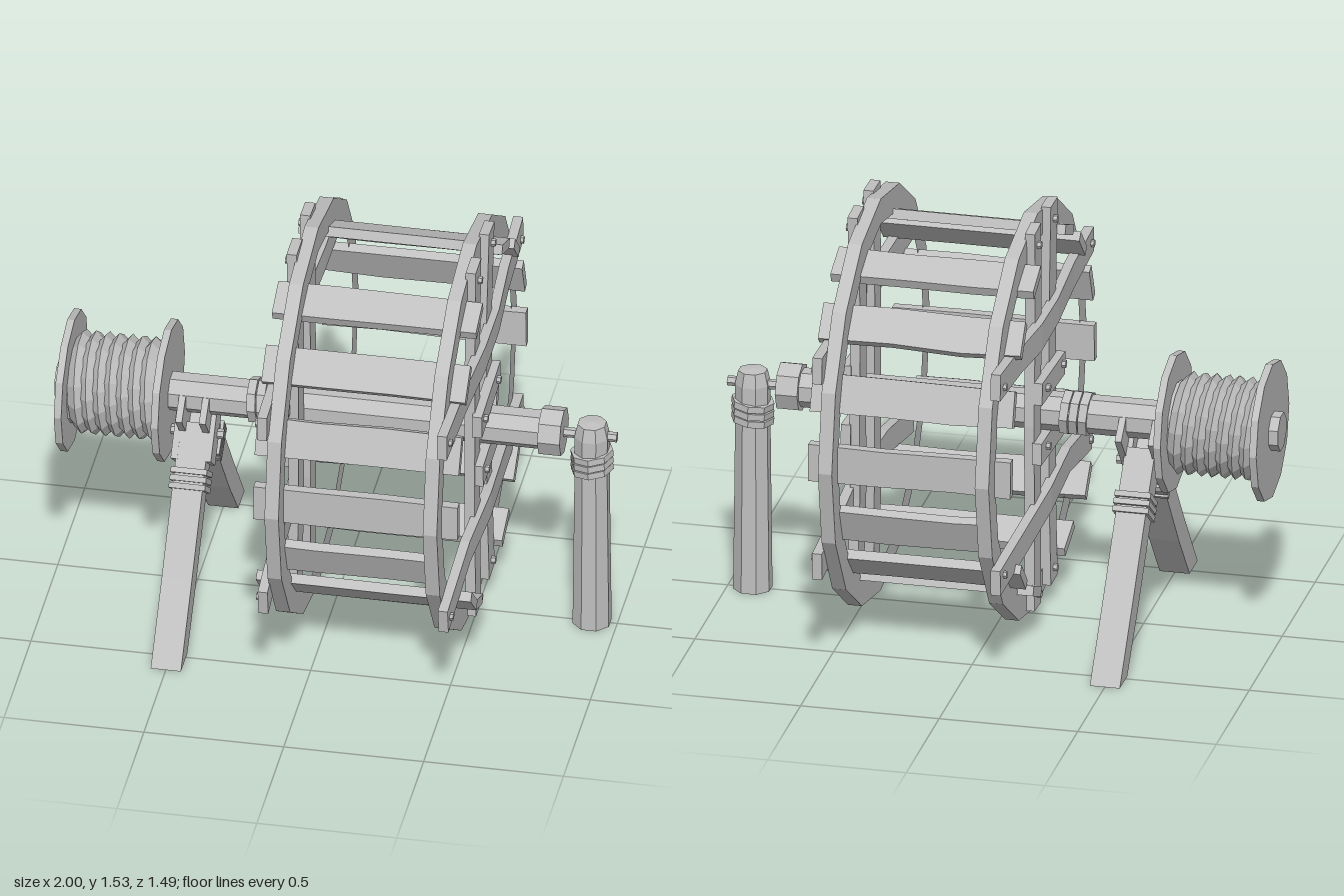
import * as THREE from 'three';

const wood = new THREE.MeshStandardMaterial({ color: 0xc0c0c0, flatShading: true });
wood.name = 'plain grey';

const HUB_Y = 0.78, MID_X = 0.19;
let seed = 7;
const rand = () => (seed = (seed * 16807) % 2147483647) / 2147483647;
const jitter = (a) => (rand() - 0.5) * a;
const X = new THREE.Vector3(1, 0, 0);

function add(parent, geo, name, x = 0, y = 0, z = 0) {
  const m = new THREE.Mesh(geo, wood);
  m.name = name;
  m.position.set(x, y, z);
  parent.add(m);
  return m;
}

// Plank swept along points; d is its size along "side", w its other size
function plank(points, w, d, side = X, rough = 0.012) {
  const pts = points.map((p) => new THREE.Vector3(...p));
  const rings = pts.map((p, i) => {
    const t = pts[Math.min(i + 1, pts.length - 1)].clone().sub(pts[Math.max(i - 1, 0)]).normalize();
    const n = t.clone().cross(side).normalize();
    const hw = (w + jitter(rough)) / 2, hd = d / 2;
    return [[1, 1], [-1, 1], [-1, -1], [1, -1]].map(([a, b]) =>
      p.clone().addScaledVector(side, a * hd).addScaledVector(n, b * hw));
  });
  const out = [];
  const quad = (a, b, c, e) => [a, b, c, a, c, e].forEach((v) => out.push(v.x, v.y, v.z));
  for (let k = 0; k < rings.length - 1; k++) {
    for (let i = 0; i < 4; i++) {
      const j = (i + 1) % 4;
      quad(rings[k][i], rings[k][j], rings[k + 1][j], rings[k + 1][i]);
    }
  }
  const s = rings[0], e = rings[rings.length - 1];
  quad(s[3], s[2], s[1], s[0]);
  quad(e[0], e[1], e[2], e[3]);
  const g = new THREE.BufferGeometry();
  g.setAttribute('position', new THREE.Float32BufferAttribute(out, 3));
  g.computeVertexNormals();
  return g;
}

// Cylinder lying along x between two positions
function rod(parent, x0, x1, r, sides, name, y = HUB_Y, z = 0) {
  const g = new THREE.CylinderGeometry(r, r, x1 - x0, sides);
  g.rotateZ(Math.PI / 2);
  return add(parent, g, name, (x0 + x1) / 2, y, z);
}

function wheelRim() {
  const corners = (r) => Array.from({ length: 16 }, (_, i) => {
    const a = (i * Math.PI) / 8;
    return new THREE.Vector2(Math.sin(a) * r, Math.cos(a) * r);
  });
  const shape = new THREE.Shape(corners(0.746));
  shape.holes.push(new THREE.Path(corners(0.65)));
  const g = new THREE.ExtrudeGeometry(shape, { depth: 0.05, bevelEnabled: false });
  g.translate(0, 0, -0.025);
  g.rotateY(Math.PI / 2);
  return g;
}

// One side of the wheel: rim, spokes, hub boards and bolts
function wheelSide(s) {
  const g = new THREE.Group();
  g.name = s > 0 ? 'leftWheelSide' : 'rightWheelSide';
  const px = (o) => MID_X + s * o;
  add(g, wheelRim(), 'rim', px(0.283), HUB_Y, 0);
  const path = (list) => list.map(([z, y, o]) => [px(o), y, z]);
  add(g, plank(path([[0.125, 0.08, 0.32], [0.118, 0.44, 0.315], [0.12, 0.78, 0.315], [0.12, 1.13, 0.315], [0.125, 1.52, 0.32]]), 0.1, 0.036), 'uprightSpoke');
  add(g, plank(path([[-0.125, 0.08, 0.32], [-0.105, 0.44, 0.315], [-0.11, 0.78, 0.315], [-0.095, 1.13, 0.315], [-0.122, 1.52, 0.32]]), 0.1, 0.036), 'uprightSpoke');
  add(g, plank(path([[0.72, 1.135, 0.322], [0.4, 1.13, 0.328], [0.1, 1.12, 0.342], [-0.15, 1.12, 0.342], [-0.4, 1.135, 0.328], [-0.7, 1.15, 0.322]]), 0.095, 0.035), 'crossSpoke');
  add(g, plank(path([[0.7, 0.395, 0.322], [0.33, 0.455, 0.33], [0, 0.445, 0.342], [-0.35, 0.42, 0.33], [-0.7, 0.405, 0.322]]), 0.095, 0.035), 'crossSpoke');
  add(g, plank(path([[0.19, 0.885, 0.345], [-0.16, 0.905, 0.345]]), 0.085, 0.035), 'hubBoard');
  add(g, plank(path([[0.165, 0.665, 0.345], [-0.17, 0.68, 0.345]]), 0.085, 0.035), 'hubBoard');
  const bolts = [[0.122, 1.46, 0.34], [-0.124, 1.46, 0.34], [0.122, 0.13, 0.34], [-0.124, 0.13, 0.34],
    [0.68, 1.135, 0.34], [-0.65, 1.135, 0.34], [0.66, 0.395, 0.34], [-0.65, 0.42, 0.34],
    [0.145, 0.898, 0.365], [-0.095, 0.907, 0.365], [0.12, 0.67, 0.365], [-0.09, 0.683, 0.365]];
  for (const [z, y, o] of bolts) rod(g, px(o) - 0.012, px(o) + 0.012, 0.014, 6, 'bolt', y, z);
  return g;
}

// Tread boards around the inside of the rims, none at the very top and bottom
function treads() {
  const g = new THREE.Group();
  g.name = 'treads';
  for (let i = 1; i < 16; i++) {
    if (i === 8) continue;
    const a = (i * Math.PI) / 8;
    const short = i === 5 || i === 11;
    const e = short ? 0.27 : i === 6 ? 0.385 : 0.365;
    const m = add(g, plank([[-e, 0, 0], [-0.15, 0, jitter(0.01)], [0.1, 0, jitter(0.01)], [e, 0, 0]], 0.135, 0.036, new THREE.Vector3(0, 1, 0)), 'tread');
    m.position.set(MID_X, HUB_Y + Math.cos(a) * 0.637, Math.sin(a) * 0.637);
    m.rotation.x = a;
  }
  return g;
}

// Rope drum with two flanges and slanted coils
function drum() {
  const g = new THREE.Group();
  g.name = 'ropeDrum';
  for (const x of [-0.953, -0.607]) rod(g, x - 0.013, x + 0.013, 0.252, 12, 'flange');
  rod(g, -0.94, -0.62, 0.15, 12, 'ropeCore');
  for (let i = 0; i < 7; i++) {
    const coil = new THREE.TorusGeometry(0.155, 0.03, 4, 14);
    coil.rotateY(Math.PI / 2);
    const m = add(g, coil, 'ropeCoil', -0.905 + i * 0.042, HUB_Y, 0);
    m.rotation.set(i * 0.7, 0, 0.08);
    m.rotation.order = 'ZYX';
  }
  return g;
}

// Crossed leg with a rope wrap and two thin prongs that hold the axle
function trestleLeg(s) {
  const g = new THREE.Group();
  g.name = s > 0 ? 'frontLeg' : 'rearLeg';
  const cx = -0.5;
  const leg = plank([[cx, 0.03, s * 0.51], [cx, 0.22, s * 0.35], [cx, 0.48, s * 0.15], [cx, 0.66, s * 0.01]], 0.095, 0.108);
  // Cut the foot level with the ground
  const p = leg.attributes.position;
  for (let i = 0; i < p.count; i++) {
    if (p.getY(i) < 0.1) {
      p.setZ(i, p.getZ(i) + s * p.getY(i) * 0.75);
      p.setY(i, 0);
    }
  }
  add(g, leg, 'leg');
  for (let i = 0; i < 3; i++) {
    const y = 0.48 + i * 0.022, z = s * (0.15 - i * 0.017);
    add(g, plank([[cx, y - 0.008, z + s * 0.006], [cx, y + 0.008, z - s * 0.006]], 0.125, 0.13), 'legRope');
  }
  for (const e of [-1, 1]) {
    const x = cx + e * (s > 0 ? 0.06 : 0.042);
    add(g, plank([[x, 0.55, s * 0.09], [x, 0.66, 0], [x, 0.775, -s * 0.1]], 0.1, 0.024), 'prong');
  }
  return g;
}

// End post with tapered head, pin and rope wrap
function endPost() {
  const g = new THREE.Group();
  g.name = 'endPost';
  const profile = [[0, 0], [0.07, 0], [0.066, 0.35], [0.063, 0.64], [0.064, 0.78], [0.052, 0.83], [0, 0.835]];
  const post = new THREE.LatheGeometry(profile.map(([r, y]) => new THREE.Vector2(r, y)), 8, Math.PI / 8);
  add(g, post, 'post', 0.91, 0, 0);
  for (let i = 0; i < 3; i++) {
    const m = add(g, new THREE.CylinderGeometry(0.077, 0.077, 0.024, 8), 'postRope', 0.91, 0.65 + i * 0.028, 0);
    m.rotation.z = 0.12;
  }
  rod(g, 0.8, 1.0, 0.018, 6, 'axlePin');
  return g;
}

export function createModel() {
  const model = new THREE.Group();
  model.name = 'treadwheelWinch';

  // Axle with collar and rope binding
  rod(model, -1.0, 0.8, 0.07, 8, 'axle').rotation.x = Math.PI / 8;
  rod(model, 0.73, 0.81, 0.088, 8, 'axleCollar');
  for (let i = 0; i < 3; i++) rod(model, -0.31 + i * 0.034, -0.28 + i * 0.034, 0.082, 8, 'axleRope').rotation.z = 0.06;

  // Wheel
  const wheel = new THREE.Group();
  wheel.name = 'wheel';
  wheel.add(wheelSide(1), wheelSide(-1), treads());
  model.add(wheel);

  model.add(drum(), endPost());

  // Trestle under the drum end
  const trestle = new THREE.Group();
  trestle.name = 'trestle';
  trestle.add(trestleLeg(1), trestleLeg(-1));
  rod(trestle, -0.6, -0.405, 0.018, 6, 'trestleBolt', 0.62, 0);
  model.add(trestle);
  return model;
}
